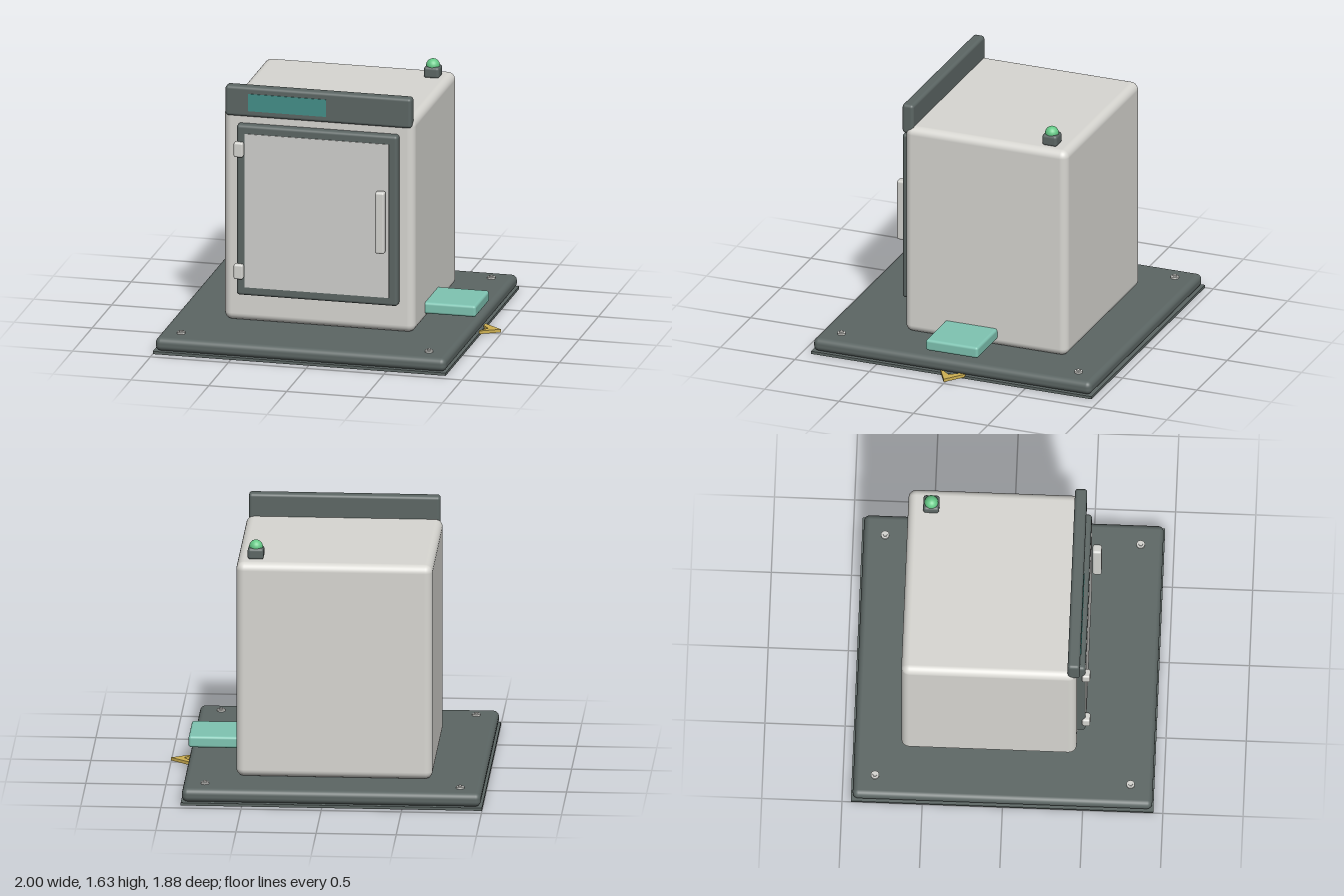
import * as THREE from 'three';
import { RoundedBoxGeometry } from 'three/addons/geometries/RoundedBoxGeometry.js';

const mat = (name, color) => {
  const m = new THREE.MeshStandardMaterial({ color });
  m.name = name;
  return m;
};

export function createModel() {
  const model = new THREE.Group();
  model.name = 'cabinetOven';

  const shell = mat('pale shell', 0xd8d7d2);
  const panel = mat('door grey', 0xd0d0cd);
  const dark = mat('dark slate', 0x5c6664);
  const steel = mat('steel', 0xd4d4d0);
  const teal = mat('soft teal', 0x7fc4b2);
  const screen = mat('display teal', 0x438f88);
  const green = mat('lamp green', 0x66c987);
  const gold = mat('gold', 0xcfb152);

  const add = (name, geometry, material, x = 0, y = 0, z = 0) => {
    const mesh = new THREE.Mesh(geometry, material);
    mesh.name = name;
    mesh.position.set(x, y, z);
    model.add(mesh);
    return mesh;
  };
  // Box given by its extents, rounded when r > 0
  const block = (name, material, [x0, x1], [y0, y1], [z0, z1], r = 0) => {
    const s = [x1 - x0, y1 - y0, z1 - z0];
    const g = r ? new RoundedBoxGeometry(...s, 4, r) : new THREE.BoxGeometry(...s);
    return add(name, g, material, (x0 + x1) / 2, (y0 + y1) / 2, (z0 + z1) / 2);
  };

  // Floor plate and rounded plinth
  block('floorPlate', dark, [-1, 0.88], [0, 0.018], [-0.945, 0.94]);
  block('plinth', dark, [-0.99, 0.875], [0.016, 0.102], [-0.935, 0.932], 0.035);

  // Cabinet
  block('cabinet', shell, [-0.67, 0.555], [0.1, 1.49], [-0.645, 0.448], 0.05);

  // Control header with display
  block('controlHeader', dark, [-0.655, 0.54], [1.44, 1.635], [0.392, 0.468], 0.02);
  block('display', screen, [-0.505, -0.005], [1.48, 1.592], [0.464, 0.472]);

  // Door
  block('doorFrame', dark, [-0.575, 0.46], [0.285, 1.395], [0.43, 0.5], 0.02);
  block('doorPanel', panel, [-0.52, 0.405], [0.34, 1.34], [0.496, 0.504]);
  block('doorHandle', steel, [0.33, 0.39], [0.64, 1.04], [0.508, 0.565], 0.014);
  for (const y of [0.443, 1.238])
    block('hinge', steel, [-0.586, -0.526], [y - 0.048, y + 0.048], [0.48, 0.53], 0.012);

  // Side tray
  block('sideTray', teal, [0.5, 0.88], [0.148, 0.222], [-0.18, 0.172], 0.017);

  // Signal lamp
  block('lampBase', dark, [0.388, 0.488], [1.485, 1.558], [-0.55, -0.45], 0.018);
  add('lampDome', new THREE.SphereGeometry(0.043, 24, 16), green, 0.438, 1.56, -0.5);

  // Plinth bolts with raised centres
  for (const x of [-0.855, 0.737])
    for (const z of [-0.8, 0.793]) {
      add('boltWasher', new THREE.CylinderGeometry(0.026, 0.026, 0.012, 20), steel, x, 0.107, z);
      add('boltHead', new THREE.CylinderGeometry(0.014, 0.014, 0.012, 6), steel, x, 0.115, z);
    }

  // Direction arrow: flat chevron pointing to +x
  const chevron = new THREE.Shape([
    [0.875, 0.097], [1, 0], [0.875, -0.07], [0.875, -0.05], [0.918, 0], [0.875, 0.055],
  ].map(([x, y]) => new THREE.Vector2(x, y)));
  const arrow = new THREE.ExtrudeGeometry(chevron, { depth: 0.02, bevelEnabled: false });
  arrow.rotateX(-Math.PI / 2);
  add('arrow', arrow, gold, 0, 0.01, 0);

  return model;
}
